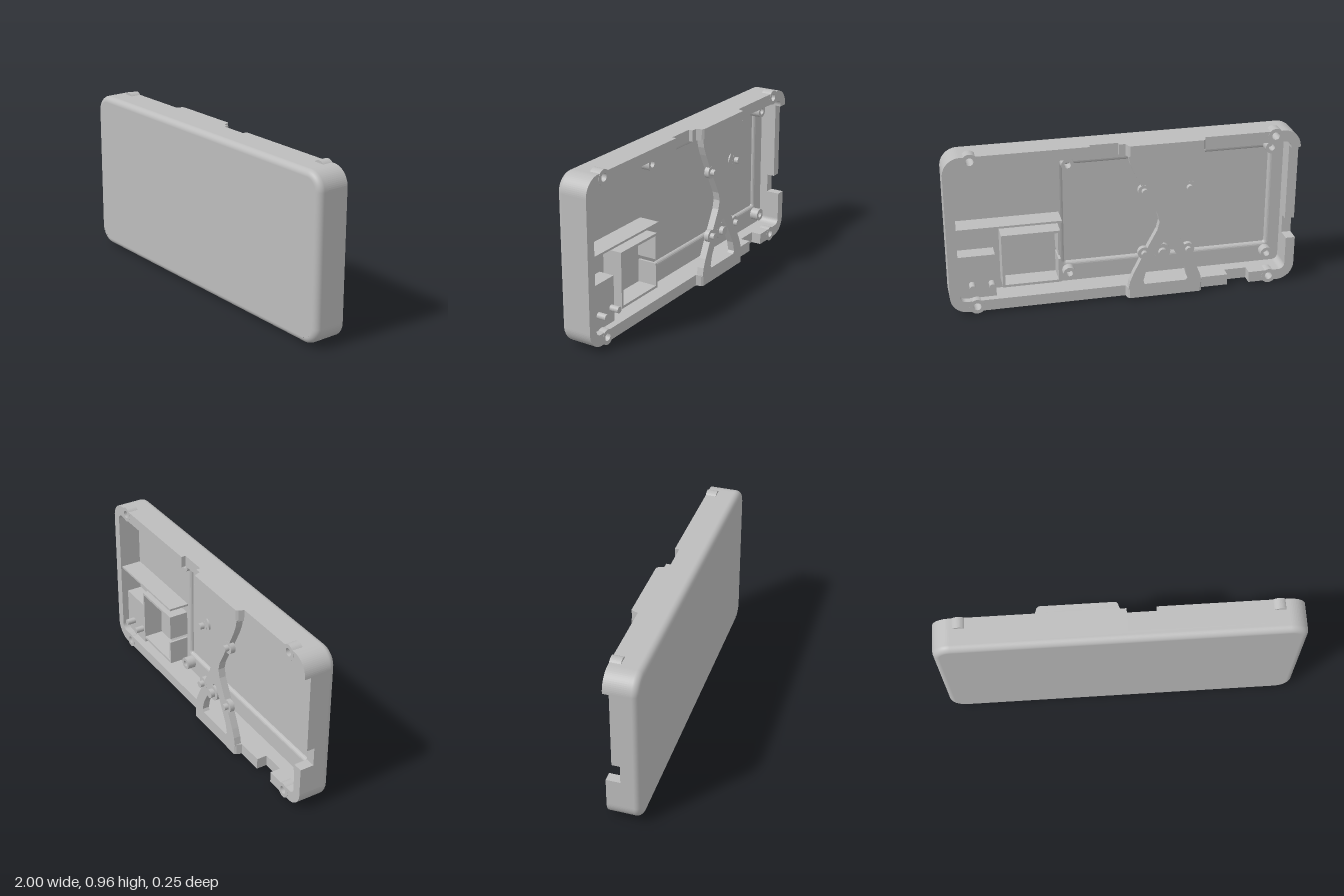
import * as THREE from 'three';

const grey = new THREE.MeshStandardMaterial({ color: 0xbcbcbc });
grey.name = 'grey plastic';

const MID = 0.483;           // mid height of the case
const HALF_H = 0.4675;       // half height of the case
const Y0 = MID - HALF_H, Y1 = MID + HALF_H;
const WALL_X = 0.055, WALL_Y = 0.065;
const RIM = -0.06, FLOOR = 0.07, FRONT = 0.125;
const R = 0.1;               // corner radius

export function createModel() {
  const model = new THREE.Group();

  const add = (name, geometry) => {
    const mesh = new THREE.Mesh(geometry, grey);
    mesh.name = name;
    model.add(mesh);
    return mesh;
  };
  const box = (name, x0, x1, y0, y1, z0, z1) =>
    add(name, new THREE.BoxGeometry(x1 - x0, y1 - y0, z1 - z0)
      .translate((x0 + x1) / 2, (y0 + y1) / 2, (z0 + z1) / 2));
  const extrude = (name, shape, z0, z1) =>
    add(name, new THREE.ExtrudeGeometry(shape, { depth: z1 - z0, bevelEnabled: false, curveSegments: 20 })
      .translate(0, 0, z0));
  const polygon = (points) => new THREE.Shape(points.map(([x, y]) => new THREE.Vector2(x, y)));
  const circle = (x, y, r) => new THREE.Shape().absarc(x, y, r, 0, Math.PI * 2, false);
  const ring = (name, x, y, r, hole, z0, z1) => {
    const shape = circle(x, y, r);
    shape.holes.push(circle(x, y, hole));
    return extrude(name, shape, z0, z1);
  };
  const arc = (cx, cy, r, a0, a1, n = 10) => Array.from({ length: n + 1 }, (_, i) => {
    const a = a0 + (a1 - a0) * i / n;
    return [cx + r * Math.cos(a), cy + r * Math.sin(a)];
  });
  const roundedRect = (x0, x1, y0, y1, r) => polygon([
    ...arc(x1 - r, y1 - r, r, 0, Math.PI / 2),
    ...arc(x0 + r, y1 - r, r, Math.PI / 2, Math.PI),
    ...arc(x0 + r, y0 + r, r, Math.PI, Math.PI * 1.5),
    ...arc(x1 - r, y0 + r, r, Math.PI * 1.5, Math.PI * 2),
  ]);

  // Front panel with a rounded edge
  const F = 0.035;
  add('frontPanel', new THREE.ShapeGeometry(
    roundedRect(-1 + F, 1 - F, Y0 + F, Y1 - F, R - F)).translate(0, 0, FRONT));
  add('roundedFrontEdge', roundedEdge(F));

  // Floor with a softly stepped pocket
  const floor = roundedRect(-0.95, 0.95, Y0 + 0.05, Y1 - 0.05, 0.04);
  floor.holes.push(roundedRect(-0.88, 0.35, 0.18, 0.82, 0.03));
  add('floor', new THREE.ExtrudeGeometry(floor, {
    depth: 0.001, bevelThickness: 0.02, bevelSize: 0.02, bevelSegments: 4,
  }).translate(0, 0, FLOOR + 0.02));
  box('pocketFloor', -0.92, 0.4, 0.14, 0.86, 0.09, 0.1);

  // Corner walls with screw holes, and the bosses that bulge out of them
  const cornerX = 0.78, cornerY = 0.36, innerX = 1 - WALL_X, innerY = HALF_H - WALL_Y;
  for (const sx of [-1, 1]) for (const sy of [-1, 1]) {
    const points = [
      [cornerX, innerY],
      ...arc(innerX - 0.035, innerY - 0.035, 0.035, Math.PI / 2, 0),
      [innerX, cornerY], [1, cornerY],
      ...arc(1 - R, HALF_H - R, R, 0, Math.PI / 2, 16),
      [cornerX, HALF_H],
    ];
    const shape = polygon(points.map(([x, y]) => [sx * x, MID + sy * y]));
    const hx = sx * 0.851, hy = MID + sy * 0.439;
    shape.holes.push(circle(hx, hy, 0.022));
    extrude('cornerWall', shape, RIM, FLOOR);
    ring('screwBoss', hx, hy, 0.043, 0.022, RIM - 0.001, 0);
  }

  // Straight walls: each run is [start, end, rim height]
  const topIn = Y1 - WALL_Y, bottomIn = Y0 + WALL_Y;
  for (const [a, b, z] of [[-0.78, 0.04, RIM], [0.04, 0.2, -0.035], [0.2, 0.78, RIM]])
    box('topWall', a, b, topIn, Y1, z, FLOOR);
  for (const [a, b, z] of [[-0.78, -0.73, RIM], [-0.73, -0.6, 0], [-0.6, 0.78, RIM]])
    box('bottomWall', a, b, Y0, bottomIn, z, FLOOR);
  const low = MID - cornerY, high = MID + cornerY;
  for (const [a, b, z] of [[low, 0.28, RIM], [0.28, 0.39, 0.02], [0.39, high, -0.025]])
    box('rightWall', -1, -innerX, a, b, z, FLOOR);
  box('leftWall', innerX, 1, low, high, RIM, FLOOR);

  // Raised rim sections that carry the brace
  const rise = polygon([[-0.445, RIM], [-0.435, -0.09], [-0.425, -0.1], [-0.015, -0.1], [-0.005, -0.09], [0.005, RIM]]);
  for (const top of [Y1, bottomIn])
    add('raisedRim', new THREE.ExtrudeGeometry(rise, { depth: WALL_Y, bevelEnabled: false })
      .rotateX(Math.PI / 2).translate(0, top, 0));

  // Cross-shaped brace with two triangular openings
  const BX = -0.22;
  const side = [[0.215, 0.41], [0.205, 0.36], [0.185, 0.31], [0.13, 0.2], [0.05, 0.05], [0.038, 0]];
  const right = [...side, ...side.slice(0, -1).reverse().map(([u, v]) => [u, -v])];
  const brace = polygon([...right, ...right.slice().reverse().map(([u, v]) => [-u, v])]
    .map(([u, v]) => [BX + u, MID + v]));
  const opening = [[0.12, 0.385], [0.13, 0.37], [0.115, 0.31], [0.055, 0.2], [0.012, 0.125]];
  for (const s of [1, -1]) {
    const loop = [...opening, ...opening.slice().reverse().map(([u, v]) => [-u, v])];
    brace.holes.push(polygon(loop.map(([u, v]) => [BX + u, MID + s * v])));
  }
  extrude('crossBrace', brace, -0.1, -0.06);

  // Locating pins on round pads
  const pins = [[-0.095, 0.678], [-0.35, 0.678], [-0.095, 0.295], [-0.35, 0.295]];
  for (const [x, y] of pins) {
    extrude('pinPad', circle(x, y, 0.036), -0.1005, -0.073);
    extrude('locatingPin', circle(x, y, 0.018), -0.125, -0.09);
  }
  extrude('largePinPad', circle(-0.2, 0.295, 0.046), -0.1005, -0.073);
  extrude('largePin', circle(-0.2, 0.295, 0.025), -0.125, -0.09);

  // Hollow standoffs on the floor
  for (const x of [0.31, -0.86]) for (const y of [0.15, 0.82])
    ring('standoff', x, y, 0.036, 0.018, 0.02, 0.095);

  // Divider shelf
  box('dividerShelf', 0.36, 0.95, 0.51, 0.522, -0.05, 0.08);

  // Open frame with a slit in one side
  const T = 0.014, Z = -0.045;
  box('frameTop', 0.37, 0.7, 0.46 - T, 0.46, Z, 0.08);
  box('frameBottom', 0.37, 0.7, 0.14, 0.14 + T, Z, 0.08);
  box('frameLeft', 0.7 - T, 0.7, 0.14, 0.46, Z, 0.08);
  box('frameRightLower', 0.37, 0.37 + T, 0.14, 0.285, Z, 0.08);
  box('frameRightUpper', 0.37, 0.37 + T, 0.31, 0.46, Z, 0.08);

  // Pedestal with two small pins
  box('pedestal', 0.735, 0.95, 0.075, 0.34, -0.02, 0.08);
  for (const x of [0.76, 0.87])
    extrude('pedestalPin', circle(x, 0.165, 0.018), -0.073, -0.01);

  return model;
}

// Outer skin: a quarter-round edge running back into the side walls
function roundedEdge(f) {
  const profile = Array.from({ length: 9 }, (_, i) => {
    const a = (i / 8) * Math.PI / 2;
    return [f * (1 - Math.sin(a)), FRONT - f + f * Math.cos(a), a];
  });
  profile.push([0, FLOOR, Math.PI / 2]);
  const position = [], normal = [], index = [], N = 12, count = 4 * (N + 1);
  for (const [inset, z, tilt] of profile) {
    for (let k = 0; k < 4; k++) for (let j = 0; j <= N; j++) {
      const a = (k + j / N) * Math.PI / 2, c = Math.cos(a), s = Math.sin(a);
      const sx = k === 0 || k === 3 ? 1 : -1, sy = k < 2 ? 1 : -1;
      position.push(sx * (1 - R) + (R - inset) * c, MID + sy * (HALF_H - R) + (R - inset) * s, z);
      normal.push(c * Math.sin(tilt), s * Math.sin(tilt), Math.cos(tilt));
    }
  }
  for (let i = 0; i < profile.length - 1; i++) for (let j = 0; j < count; j++) {
    const a = i * count + j, b = i * count + (j + 1) % count;
    index.push(a, a + count, b, b, a + count, b + count);
  }
  const geometry = new THREE.BufferGeometry();
  geometry.setAttribute('position', new THREE.Float32BufferAttribute(position, 3));
  geometry.setAttribute('normal', new THREE.Float32BufferAttribute(normal, 3));
  geometry.setIndex(index);
  return geometry;
}
